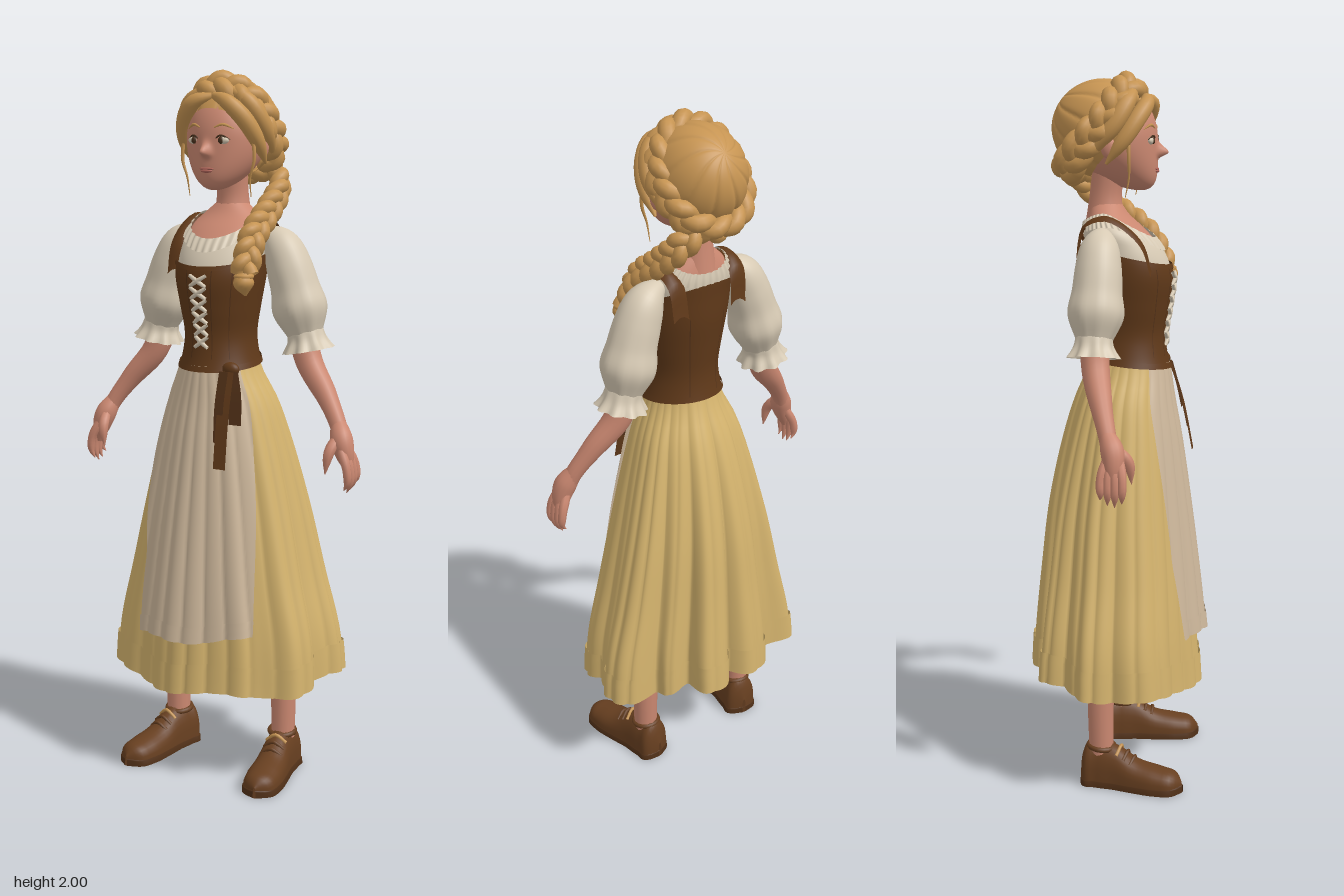
import * as THREE from 'three';
import { mergeVertices } from 'three/addons/utils/BufferGeometryUtils.js';

const { sin, cos, abs, PI, max, pow, exp } = Math;
const { lerp, clamp } = THREE.MathUtils;
const V = (x, y, z) => new THREE.Vector3(x, y, z);

// Smooth lookup in a table of [key, value, ...] rows
function sampler(rows) {
  const it = new THREE.CubicInterpolant(rows.map(r => r[0]), rows.flatMap(r => r.slice(1)), rows[0].length - 1, []);
  return k => it.evaluate(k);
}

function smooth(geo) {
  geo.deleteAttribute('uv');
  geo.deleteAttribute('normal');
  const g = mergeVertices(geo, 1e-5);
  g.computeVertexNormals();
  return g;
}

// Surface from f(u, v), with u running round and v running up
function grid(nu, nv, f) {
  const pos = [], idx = [], row = nu + 1;
  for (let j = 0; j <= nv; j++) for (let i = 0; i <= nu; i++) pos.push(...f(i / nu, j / nv).toArray());
  for (let j = 0; j < nv; j++) for (let i = 0; i < nu; i++) {
    const a = j * row + i;
    idx.push(a, a + 1, a + row + 1, a, a + row + 1, a + row);
  }
  const g = new THREE.BufferGeometry();
  g.setAttribute('position', new THREE.Float32BufferAttribute(pos, 3));
  g.setIndex(idx);
  return smooth(g);
}

// Point on an elliptical body; angle 0 is the front
function around(prof, a, y, off = 0, fold = 1) {
  const [rx, rz, cz] = prof(y);
  return V((rx + off) * fold * sin(a), y, cz + (rz + off) * fold * cos(a));
}

function shell(prof, lo, hi, off, fold = () => 1, nu = 64, nv = 20, a0 = -PI, a1 = PI) {
  return grid(nu, nv, (u, v) => {
    const a = lerp(a0, a1, u), y = lerp(lo(a), hi(a), v);
    return around(prof, a, y, off, fold(a, y));
  });
}

// Tube whose radius changes along its length
function sweep(points, radii, seg = 20, rad = 14, ripple = () => 1) {
  const curve = new THREE.CatmullRomCurve3(points.map(p => V(...p)));
  const g = new THREE.TubeGeometry(curve, seg, 1, rad), p = g.attributes.position, q = V();
  const r = sampler(radii.map((x, i) => [i / (radii.length - 1), x]));
  for (let i = 0; i <= seg; i++) {
    const c = curve.getPointAt(i / seg);
    for (let j = 0; j <= rad; j++) {
      const k = i * (rad + 1) + j;
      q.fromBufferAttribute(p, k).sub(c).multiplyScalar(max(0.0005, r(i / seg)[0]) * ripple(i / seg, j / rad * 2 * PI)).add(c);
      p.setXYZ(k, q.x, q.y, q.z);
    }
  }
  return smooth(g);
}

// Ribbon along a path, its width along x and its edges dipping by droop
function ribbon(points, width, droop = 0) {
  const curve = new THREE.CatmullRomCurve3(points.map(p => V(...p)));
  return grid(6, 20, (u, v) => curve.getPointAt(v).add(V((u - 0.5) * width, -4 * droop * (u - 0.5) ** 2, 0)));
}

function ball(x, y, z, sx, sy, sz) {
  return new THREE.SphereGeometry(1, 20, 14).scale(sx, sy, sz).translate(x, y, z);
}

export function createModel() {
  const root = new THREE.Group();
  const mat = (name, color, side = THREE.FrontSide) => {
    const m = new THREE.MeshStandardMaterial({ color, side });
    m.name = name;
    return m;
  };
  const D = THREE.DoubleSide;
  const skin = mat('skin', 0xcb8871), hair = mat('blonde hair', 0xc69452, D), yellow = mat('yellow cloth', 0xd5b46e, D);
  const cream = mat('cream linen', 0xd7cab4, D), apron = mat('apron linen', 0xcdb79b, D);
  const brown = mat('brown bodice', 0x603919, D), tie = mat('dark brown', 0x523118, D);
  const leather = mat('shoe leather', 0x673f20), dark = mat('eye brown', 0x47301d), lip = mat('lips', 0xb0655a);
  const add = (name, geo, m, parent = root) => {
    const mesh = new THREE.Mesh(geo, m);
    mesh.name = name;
    parent.add(mesh);
    return mesh;
  };

  // Torso, blouse and bodice share one body profile: y, half width, half depth, centre z
  const torso = sampler([[1.17, 0.115, 0.116, 0.025], [1.22, 0.101, 0.103, 0.025], [1.28, 0.093, 0.097, 0.025],
    [1.36, 0.105, 0.107, 0.027], [1.45, 0.121, 0.117, 0.025], [1.52, 0.125, 0.105, 0.01],
    [1.57, 0.122, 0.085, -0.012], [1.61, 0.085, 0.06, -0.03], [1.64, 0.05, 0.046, -0.037]]);
  const neckline = a => 1.61 - (cos(a) > 0 ? 0.068 : 0.025) * cos(a) ** 2;
  const bodiceTop = a => 1.505 + (cos(a) > 0 ? -0.03 : -0.055) * cos(a);
  const bodiceEnd = a => 1.197 - 0.013 * cos(a);
  add('upperChest', shell(torso, () => 1.42, () => 1.64, -0.004), skin);
  add('neck', sweep([[0, 1.58, -0.04], [0, 1.66, -0.04], [0, 1.74, -0.03]], [0.058, 0.045, 0.046]), skin);
  add('blouse', shell(torso, () => 1.4, neckline, 0.003), cream);
  add('neckFrill', shell(torso, a => neckline(a) - 0.03, a => neckline(a) + 0.006, 0.007,
    a => 1 + 0.02 * sin(36 * a), 260, 4), cream);
  add('bodice', shell(torso, bodiceEnd, bodiceTop, 0.008), brown);
  add('bodiceTrim', shell(torso, a => bodiceTop(a) - 0.012, bodiceTop, 0.011, () => 1, 64, 2), brown);
  add('bodiceHem', shell(torso, bodiceEnd, a => bodiceEnd(a) + 0.016, 0.012, () => 1, 64, 2), brown);
  for (let i = 0; i < 6; i++) for (const s of [-1, 1]) {
    const y = 1.25 + i * 0.034;
    add('lace', sweep([-1, 0, 1].map(k => around(torso, k * 0.19, y + 0.016 + s * k * 0.015, 0.013).toArray()),
      [0.005, 0.0065, 0.005], 6, 6), cream);
  }
  for (const s of [-1, 1]) for (const a of [0.3, 0.75, 2.7])
    add('bodiceSeam', shell(torso, () => 1.22, () => 1.465, 0.01, () => 1, 2, 16, s * a - 0.012, s * a + 0.012), tie);

  // Skirt with uneven deep folds at the hem (angle, scale) and fine pleats above
  const skirt = sampler([[0.25, 0.348, 0.255, -0.012], [0.42, 0.335, 0.243, -0.012], [0.6, 0.29, 0.225, -0.01],
    [0.8, 0.242, 0.2, -0.008], [1.0, 0.188, 0.163, 0.002], [1.1, 0.155, 0.138, 0.01], [1.18, 0.115, 0.115, 0.022], [1.23, 0.1, 0.103, 0.025]]);
  const folds = sampler([[-PI, 0.76], [-3.02, 0.92], [-2.7, 0.9], [-2.52, 0.76], [-2.32, 1.02], [-2.02, 0.91], [-1.75, 0.98],
    [-1.38, 0.92], [-1.1, 1.01], [-0.84, 1], [-0.54, 0.92], [-0.1, 1], [0.28, 0.91], [0.55, 0.94], [0.74, 0.9], [1, 1],
    [1.2, 0.98], [1.45, 0.9], [1.82, 1.03], [2.08, 1], [2.24, 0.8], [2.43, 0.88], [2.6, 0.76], [2.8, 1.02], [3, 0.98], [PI, 0.76]]);
  const pleat = (a, y) => {
    const depth = pow(clamp((1.23 - y) / 0.93, 0, 1), 0.8);
    const ripple = pow(abs(sin(14 * (a + 0.06 * sin(3 * a)))), 0.7);
    return 1 + (folds(a)[0] - 1) * depth - 0.065 * pow(depth, 0.5) * (1 - depth * 0.5) * (1 - ripple);
  };
  const hem = a => 0.302 - 0.026 * cos(a) + 0.008 * sin(5 * a);
  add('skirt', shell(skirt, hem, () => 1.23, 0, pleat, 300, 30), yellow);
  add('skirtHemBand', shell(skirt, hem, a => hem(a) + 0.085, 0.006, pleat, 300, 4), yellow);

  // Apron lying over the front pleats
  const apronPoint = (lift, top) => (u, v) => {
    const h = v * top, a = lerp(lerp(-0.49, -0.93, h), lerp(0.64, 0.98, h), u);
    const y = lerp(0.43 + 0.03 * u * u + 0.006 * sin(9 * u), 1.2, h);
    return around(skirt, a, y, 0.009 + 0.02 * (1 - h) + lift, pleat(a, y));
  };
  add('apron', grid(70, 30, apronPoint(0, 1)), apron);
  add('apronHem', grid(70, 3, apronPoint(0.004, 0.06)), apron);

  // Knotted sash on the model's left hip
  add('sashKnot', ball(0.085, 1.195, 0.118, 0.026, 0.02, 0.016), brown);
  add('sashLongEnd', ribbon([[0.085, 1.19, 0.135], [0.09, 1.07, 0.172], [0.095, 0.93, 0.2]], 0.038), brown);
  add('sashShortEnd', ribbon([[0.095, 1.19, 0.13], [0.115, 1.13, 0.148], [0.125, 1.05, 0.165]], 0.04), tie);
  add('sashLoop', ribbon([[0.075, 1.19, 0.14], [0.075, 1.1, 0.165], [0.082, 1.0, 0.186]], 0.028), tie);

  // Shoe sections along z: half width, height
  const last = sampler([[-0.085, 0.006, 0.05], [-0.075, 0.036, 0.1], [-0.03, 0.046, 0.122], [0.02, 0.045, 0.115],
    [0.08, 0.05, 0.08], [0.15, 0.051, 0.064], [0.195, 0.036, 0.052], [0.214, 0.004, 0.03]]);
  const shoe = (grow, low, top) => grid(28, 30, (u, v) => {
    const z = lerp(-0.085, 0.214, 0.5 - 0.5 * cos(PI * v)), [w, h] = last(z), a = u * 2 * PI;
    const y = top ?? h;
    return V(w * grow * cos(a), sin(a) > 0 ? low + (y - low) * pow(sin(a), top ? 0.2 : 0.7) : low, z * (top ? 1.01 : 1));
  });

  for (const s of [-1, 1]) {
    const side = new THREE.Group();
    side.name = s > 0 ? 'leftSide' : 'rightSide';
    root.add(side);
    const put = (name, geo, m) => add(name, geo, m, side);
    const P = pts => pts.map(([x, y, z]) => [s * x, y, z]);

    // Bodice strap and puffed sleeve
    put('strap', ribbon(P([[0.102, 1.46, 0.104], [0.106, 1.54, 0.078], [0.106, 1.597, 0.015], [0.104, 1.611, -0.03],
      [0.101, 1.585, -0.086], [0.095, 1.49, -0.104]]), 0.05, 0.014), brown);
    put('sleeve', sweep(P([[0.095, 1.56, -0.03], [0.125, 1.552, -0.03], [0.162, 1.52, -0.03], [0.196, 1.44, -0.03], [0.218, 1.36, -0.032],
      [0.235, 1.288, -0.034]]), [0.012, 0.05, 0.063, 0.068, 0.076, 0.05], 30, 40, (t, a) => 1 + 0.03 * sin(9 * a) * t * t), cream);
    put('sleeveCuff', sweep(P([[0.233, 1.298, -0.034], [0.24, 1.275, -0.034], [0.247, 1.24, -0.034]]),
      [0.05, 0.054, 0.07], 8, 60, (t, a) => 1 + 0.09 * t * sin(9 * a)), cream);

    // Arm and hand
    put('forearm', sweep(P([[0.22, 1.31, -0.035], [0.253, 1.21, -0.026], [0.32, 1.125, 0], [0.37, 1.05, 0.025], [0.385, 1.01, 0.035]]),
      [0.04, 0.039, 0.034, 0.026, 0.022]), skin);
    put('palm', sweep(P([[0.368, 1.06, 0.022], [0.39, 1.01, 0.042], [0.408, 0.95, 0.045], [0.412, 0.93, 0.045]]), [0.02, 0.031, 0.026, 0.01]), skin);
    for (let i = 0; i < 4; i++) {
      const z = 0.014 + i * 0.019, drop = [0.02, 0.005, 0, 0.01][i];
      put('finger', sweep(P([[0.395, 0.995, z * 0.6 + 0.018], [0.418, 0.945, z], [0.421, 0.905, z], [0.41, 0.872 + drop, z - 0.002]]),
        [0.012, 0.0135, 0.012, 0.0105, 0.001], 12, 8), skin);
    }
    put('thumb', sweep(P([[0.38, 1.025, 0.045], [0.37, 0.985, 0.08], [0.362, 0.925, 0.088]]), [0.013, 0.016, 0.012, 0.001], 12, 8), skin);

    // Leg and shoe
    put('leg', sweep(P([[0.16, 0.62, -0.02], [0.175, 0.35, -0.025], [0.18, 0.22, -0.027], [0.18, 0.07, -0.025]]), [0.06, 0.045, 0.038, 0.034]), skin);
    const foot = new THREE.Group();
    foot.name = 'shoe';
    foot.position.x = s * 0.182;
    foot.rotation.y = s * 0.16;
    side.add(foot);
    add('shoeUpper', shoe(1, 0.012), leather, foot);
    add('shoeSole', shoe(1.07, 0, 0.022), tie, foot);
    add('shoeCollar', new THREE.TorusGeometry(0.036, 0.008, 8, 24).rotateX(PI / 2 + 0.1).translate(0, 0.11, -0.025), leather, foot);
    for (let i = 0; i < 3; i++)
      add('shoeLace', sweep([[-0.03, 0.095 - i * 0.012, 0.028 + i * 0.02], [0, 0.117 - i * 0.014, 0.034 + i * 0.02],
        [0.03, 0.095 - i * 0.012, 0.028 + i * 0.02]], [0.005, 0.005, 0.005], 8, 6), i ? leather : hair, foot);

    // Face features and ear
    put('eyeWhite', ball(s * 0.043, 1.812, 0.091, 0.02, 0.011, 0.01), cream);
    put('iris', ball(s * 0.042, 1.812, 0.098, 0.008, 0.0095, 0.006), dark);
    put('lashes', sweep(P([[0.022, 1.813, 0.1], [0.042, 1.825, 0.1], [0.065, 1.814, 0.087]]), [0.001, 0.003, 0.001], 10, 6), dark);
    put('eyebrow', sweep(P([[0.022, 1.846, 0.1], [0.045, 1.854, 0.093], [0.072, 1.842, 0.077]]), [0.002, 0.004, 0.001], 10, 6), hair);
    put('ear', ball(s * 0.112, 1.795, -0.015, 0.012, 0.03, 0.02), skin);

    // Swept locks and loose wisps round the face
    put('frontLock', sweep(P([[0.002, 1.93, 0.066], [0.05, 1.915, 0.083], [0.092, 1.87, 0.062], [0.114, 1.81, 0.025], [0.116, 1.75, -0.02]]),
      [0.01, 0.022, 0.024, 0.02, 0.004]), hair);
    put('sideLock', sweep(P([[0.03, 1.95, 0.045], [0.09, 1.915, 0.035], [0.12, 1.85, 0.0], [0.118, 1.78, -0.06]]),
      [0.012, 0.024, 0.023, 0.012]), hair);
    put('wisp', sweep(P([[0.108, 1.83, 0.04], [0.114, 1.76, 0.042], [0.1, 1.71, 0.04], [0.098, 1.66, 0.03]]),
      [0.006, 0.005, 0.003, 0.001], 14, 6), hair);
  }

  // Head with a tapered jaw and a small nose
  const head = new THREE.SphereGeometry(1, 120, 90), hp = head.attributes.position;
  for (let i = 0; i < hp.count; i++) {
    const x = hp.getX(i) * 0.108, y = hp.getY(i), z = hp.getZ(i), k = max(0, -y), h = 1.815 + y * 0.138;
    const nose = z > 0 ? 0.031 * exp(-((x / 0.013) ** 2) - ((h - 1.78) / (h > 1.78 ? 0.021 : 0.011)) ** 2) : 0;
    hp.setXYZ(i, x * (1 - 0.16 * k * k), h, z * (z > 0 ? 0.105 : 0.13) + 0.058 * k * k + nose);
  }
  add('head', smooth(head), skin);
  add('upperLip', ball(0, 1.736, 0.102, 0.023, 0.004, 0.007), lip);
  add('lowerLip', ball(0, 1.73, 0.103, 0.018, 0.005, 0.007), lip);

  // Hair cap, its strands running from the back of the crown to the hairline
  const cap = new THREE.SphereGeometry(1, 120, 30, 0, 2 * PI, 0, 0.65 * PI), cp = cap.attributes.position;
  for (let i = 0; i < cp.count; i++) {
    const r = Math.hypot(cp.getX(i), cp.getZ(i)), a = Math.atan2(cp.getZ(i), cp.getX(i));
    const k = 1 - 0.05 * r * pow(1 - abs(sin(5 * a + 3 * r)), 3);
    cp.setXYZ(i, cp.getX(i) * k, cp.getY(i) * k, cp.getZ(i) * k);
  }
  add('hairCap', smooth(cap.rotateX(-0.87).scale(0.124, 0.135, 0.145).translate(0, 1.845, -0.045)), hair);

  // Three-strand braids
  function braid(name, points, closed, turns, w, r, centre) {
    const curve = new THREE.CatmullRomCurve3(points.map(p => V(...p)), closed), n = Math.round(turns * 12);
    for (let k = 0; k < 3; k++) {
      const path = [];
      for (let i = 0; i < n + (closed ? 0 : 1); i++) {
        const t = i / n, p = curve.getPointAt(t), ph = 2 * PI * (turns * t + k / 3);
        const out = p.clone().sub(centre(p)).normalize();
        const across = curve.getTangentAt(t).cross(out).normalize();
        path.push(p.addScaledVector(across, w * sin(ph)).addScaledVector(out, w * 0.45 * sin(2 * ph)));
      }
      add(name, new THREE.TubeGeometry(new THREE.CatmullRomCurve3(path, closed), n * 2, r, 12, closed), hair);
    }
  }
  braid('crownBraid', [[0, 1.956, 0.03], [0.07, 1.93, 0.015], [0.11, 1.862, -0.03], [0.1, 1.785, -0.1], [0.048, 1.738, -0.138],
    [-0.048, 1.738, -0.138], [-0.1, 1.785, -0.1], [-0.11, 1.862, -0.03], [-0.07, 1.93, 0.015]], true, 5, 0.026, 0.0235, () => V(0, 1.845, -0.045));
  braid('sideBraid', [[0.06, 1.75, -0.14], [0.112, 1.69, -0.112], [0.12, 1.63, -0.04], [0.122, 1.55, 0.065], [0.126, 1.46, 0.115]],
    false, 3, 0.021, 0.0205, p => V(0, p.y - 0.03, -0.04));
  add('braidTie', new THREE.TorusGeometry(0.021, 0.007, 8, 20).rotateX(PI / 2).translate(0.126, 1.452, 0.118), hair);
  add('braidTuft', sweep([[0.126, 1.46, 0.118], [0.127, 1.435, 0.121], [0.132, 1.4, 0.12]], [0.02, 0.028, 0.003]), hair);
  return root;
}
